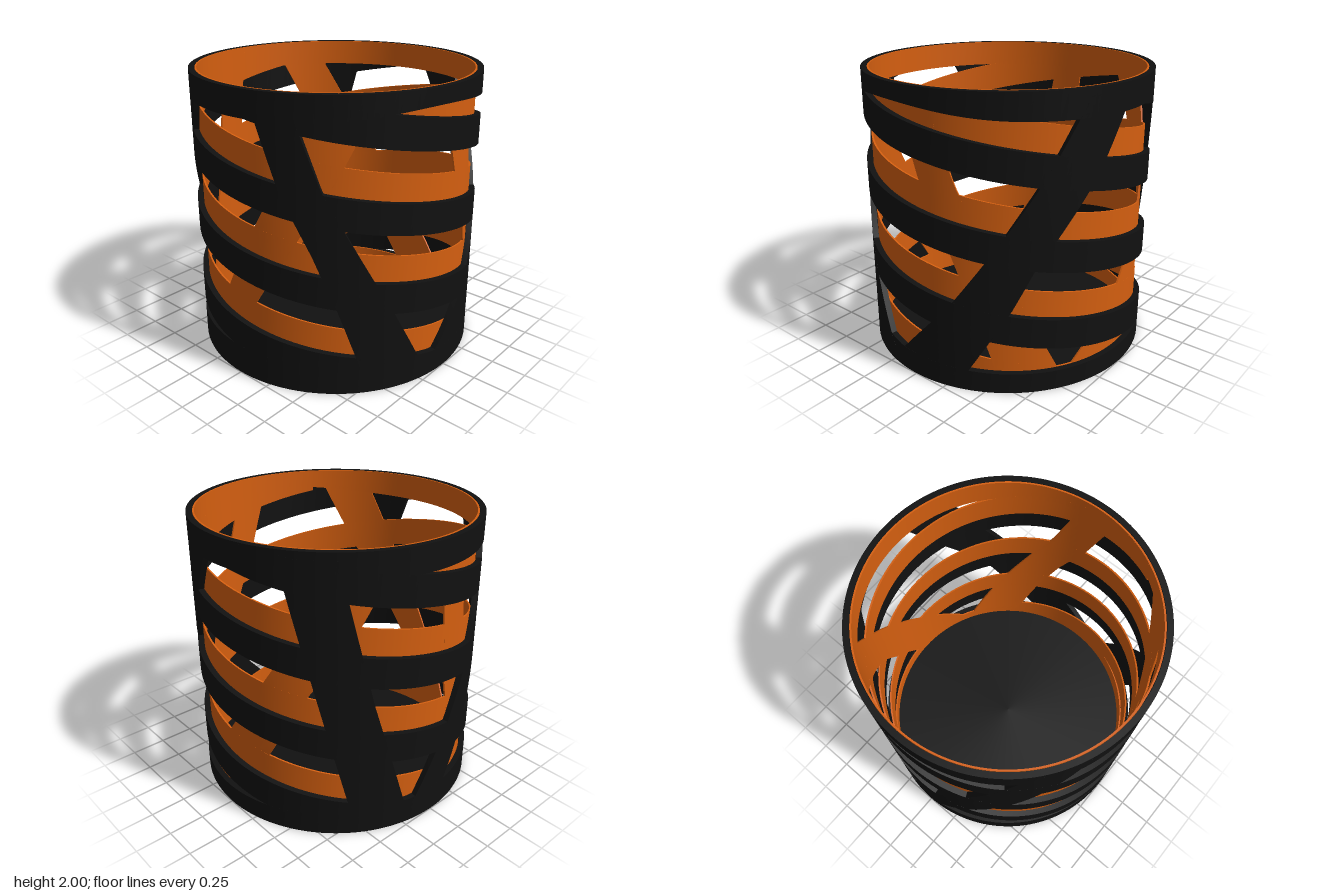
import * as THREE from 'three';
import { toCreasedNormals } from 'three/addons/utils/BufferGeometryUtils.js';

const RAD = Math.PI / 180;
const { lerp, clamp } = THREE.MathUtils;
const black = new THREE.MeshStandardMaterial({ color: 0x111111 });
const orange = new THREE.MeshStandardMaterial({ color: 0xd45f10 });

// Curved plate on a cylinder wall. point(u, v) gives [degrees, height];
// u runs around the wall, v runs upward.
function plate(rIn, rOut, nu, nv, point) {
  const pos = [], idx = [], ring = 2 * (nv + 1);
  for (let i = 0; i <= nu; i++) {
    for (let j = 0; j < ring; j++) {
      const outer = j <= nv;
      const [deg, y] = point(i / nu, (outer ? j : ring - 1 - j) / nv);
      const r = outer ? rOut : rIn;
      pos.push(r * Math.sin(deg * RAD), y, r * Math.cos(deg * RAD));
    }
  }
  for (let i = 0; i < nu; i++) {
    for (let j = 0; j < ring; j++) {
      const k = (j + 1) % ring;
      const a = i * ring + j, b = a + ring, c = (i + 1) * ring + k, d = i * ring + k;
      idx.push(a, b, c, a, c, d);
    }
  }
  // end faces
  const e = nu * ring;
  for (let j = 0; j < nv; j++) {
    const o = j, p = j + 1, q = ring - 2 - j, s = ring - 1 - j;
    idx.push(o, p, q, o, q, s, e + o, e + q, e + p, e + o, e + s, e + q);
  }
  const geo = new THREE.BufferGeometry();
  geo.setAttribute('position', new THREE.Float32BufferAttribute(pos, 3));
  geo.setIndex(idx);
  return toCreasedNormals(geo, 0.6);
}

// Edges of the rims, slightly uneven around the wall
const rimBottom = (d) => 1.82 + 0.07 * Math.exp(-(((d - 80) / 35) ** 2));
const baseTop = (d) => 0.18 + 0.04 * Math.cos((d + 20) * RAD);

// Struts as [height, left edge, right edge] in degrees, bottom to top
const strutA = [[0.1, -102, -86], [0.6, -85, -68], [1, -72, -53], [1.4, -59, -38], [1.76, -48.6, -26.7], [1.95, -43, -21]];
const strutB = [[0.1, 52, 77], [0.6, 42, 62], [1, 32.5, 49], [1.4, 21, 36.5], [1.95, 10, 25]];
const strutC = [[0.1, 80, 112], [0.6, 106.5, 130], [0.9, 119.5, 139], [1.45, 141, 162], [1.95, 158, 178]];
const strutD = [[0.1, 235, 257], [1, 222, 242], [1.95, 208, 229]];
const linerD = [[0.1, 288, 308], [1, 276, 293], [1.95, 270, 283]];
const turn = (knots, a) => knots.map(([y, l, r]) => [y, l + a, r + a]);

function edgesAt(knots, y) {
  let i = 0;
  while (i < knots.length - 2 && y > knots[i + 1][0]) i++;
  const [y0, l0, r0] = knots[i], [y1, l1, r1] = knots[i + 1];
  const t = (y - y0) / (y1 - y0);
  return [lerp(l0, l1, t), lerp(r0, r1, t)];
}

// One complete openwork wall: two rims, two spiral bands and four struts
function openworkWall(name, material, rIn, rOut, shift, struts) {
  const wall = new THREE.Group();
  wall.name = name;
  const add = (part, geo) => {
    const mesh = new THREE.Mesh(geo, material);
    mesh.name = part;
    wall.add(mesh);
  };

  add('topRim', plate(rIn, rOut, 128, 1, (u, v) => {
    const d = u * 360 - 180;
    return [d, lerp(rimBottom(d), 2, v)];
  }));
  add('bottomRim', plate(rIn, rOut, 128, 1, (u, v) => {
    const d = u * 360 - 180;
    return [d, lerp(0.005, baseTop(d), v)];
  }));

  // spiral bands, falling 1.09 per turn
  const pitch = 1.09, half = 0.105;
  for (const start of [0, 180]) {
    const from = start + (shift / pitch) * 360;
    add('spiralBand', plate(rIn, rOut, 220, 1, (u, v) => {
      const y = lerp(1.95, 0.05, u);
      const d = from + ((1.95 - y) / pitch) * 360;
      return [d, clamp(y + lerp(-half, half, v), 0.01, 1.99)];
    }));
  }

  for (const knots of struts) {
    add('strut', plate(rIn, rOut, 8, 36, (u, v) => {
      const y = lerp(0.1, 1.95, v);
      const [l, r] = edgesAt(knots, y);
      return [lerp(l, r, u), y];
    }));
  }
  return wall;
}

export function createModel() {
  const model = new THREE.Group();
  model.name = 'basket';
  model.add(openworkWall('outerShell', black, 0.96, 1, 0, [strutA, strutB, strutC, strutD]));
  model.add(openworkWall('innerLiner', orange, 0.945, 0.957, 0.18,
    [turn(strutA, 77), turn(strutB, 73), turn(strutC, 73), linerD]));

  // solid floor
  const floor = new THREE.Mesh(new THREE.CylinderGeometry(0.998, 0.998, 0.04, 128), black);
  floor.name = 'floor';
  floor.position.y = 0.02;
  model.add(floor);
  return model;
}
